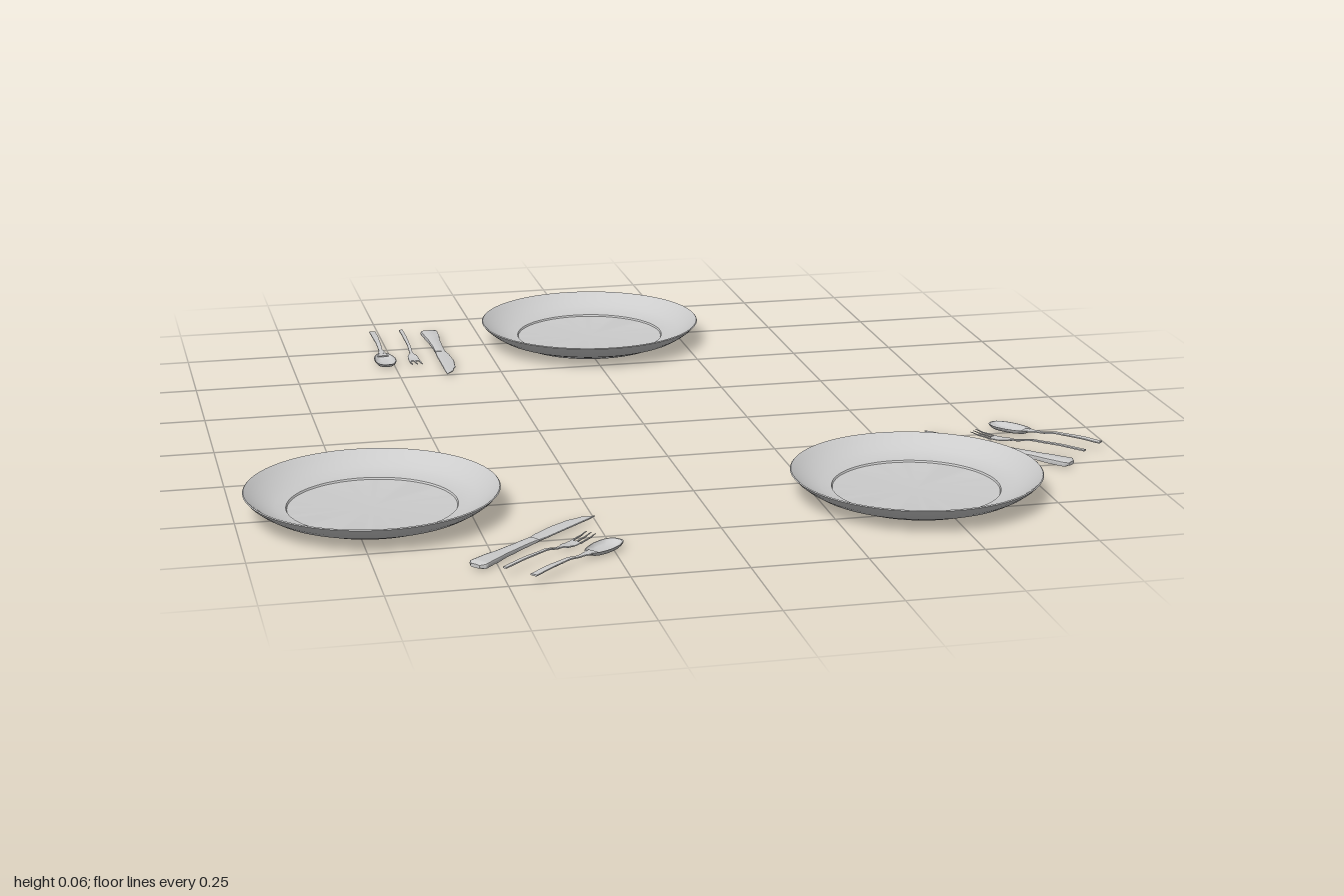
import * as THREE from 'three';
import { toCreasedNormals } from 'three/addons/utils/BufferGeometryUtils.js';

const grey = new THREE.MeshStandardMaterial({ color: 0xcccccc });

function mesh(name, geometry, crease = 0.6) {
  const m = new THREE.Mesh(toCreasedNormals(geometry, crease), grey);
  m.name = name;
  return m;
}

// Bar along +z; rows of [z, x centre, half width, y centre, half thickness], eased from row to row
function bar(rows, steps = 32, sides = 12) {
  const at = (t, k) => {
    const f = t * (rows.length - 1);
    const i = Math.min(Math.floor(f), rows.length - 2);
    const u = f - i;
    const s = k === 0 ? u : u * u * (3 - 2 * u);
    return rows[i][k] + (rows[i + 1][k] - rows[i][k]) * s;
  };
  const pos = [], index = [];
  for (let j = 0; j <= steps; j++) {
    const [z, x, w, y, h] = [0, 1, 2, 3, 4].map((k) => at(j / steps, k));
    for (let i = 0; i < sides; i++) {
      const a = (i / sides) * Math.PI * 2;
      const c = Math.cos(a), s = Math.sin(a);
      pos.push(x + w * Math.sign(c) * Math.sqrt(Math.abs(c)), y + h * Math.sign(s) * Math.sqrt(Math.abs(s)), z);
    }
  }
  for (let j = 0; j < steps; j++) {
    for (let i = 0; i < sides; i++) {
      const a = j * sides + i, b = j * sides + ((i + 1) % sides);
      index.push(a, b, a + sides, b, b + sides, a + sides);
    }
  }
  const last = steps * sides;
  for (let i = 1; i < sides - 1; i++) {
    index.push(0, i + 1, i, last, last + i, last + i + 1);
  }
  const g = new THREE.BufferGeometry();
  g.setAttribute('position', new THREE.Float32BufferAttribute(pos, 3));
  g.setIndex(index);
  return g;
}

function createPlate() {
  const profile = [
    [0, 0.004], [0.182, 0.004], [0.185, 0.006], [0.187, 0.014], [0.212, 0.016], [0.232, 0.023],
    [0.252, 0.035], [0.266, 0.046], [0.275, 0.056], [0.273, 0.058], [0.262, 0.049], [0.247, 0.039],
    [0.228, 0.029], [0.207, 0.022], [0.184, 0.019], [0.182, 0.015], [0, 0.015],
  ].map(([r, y]) => new THREE.Vector2(r, y));
  return mesh('plate', new THREE.LatheGeometry(profile, 72));
}

function createKnife() {
  const knife = new THREE.Group();
  knife.name = 'knife';
  knife.add(mesh('knifeHandle', bar([
    [-0.006, 0.072, 0.012, 0.008, 0.004], [0.004, 0.072, 0.022, 0.008, 0.007], [0.04, 0.073, 0.02, 0.008, 0.007],
    [0.09, 0.073, 0.015, 0.008, 0.006], [0.15, 0.073, 0.013, 0.008, 0.005], [0.19, 0.073, 0.013, 0.008, 0.004],
  ])));
  knife.add(mesh('knifeBlade', bar([
    [0.185, 0.073, 0.013, 0.008, 0.003], [0.22, 0.075, 0.017, 0.008, 0.002], [0.27, 0.076, 0.018, 0.008, 0.002],
    [0.32, 0.074, 0.016, 0.008, 0.002], [0.355, 0.069, 0.011, 0.008, 0.002], [0.383, 0.061, 0.002, 0.008, 0.001],
  ])));
  return knife;
}

function createFork() {
  const fork = new THREE.Group();
  fork.name = 'fork';
  fork.add(mesh('forkHandle', bar([
    [0, 0, 0.005, 0.018, 0.002], [0.06, 0, 0.005, 0.019, 0.002], [0.13, 0, 0.004, 0.017, 0.002],
    [0.185, 0, 0.004, 0.008, 0.002], [0.2, 0, 0.012, 0.006, 0.002], [0.22, 0, 0.014, 0.004, 0.0015],
    [0.24, 0, 0.014, 0.004, 0.0015],
  ])));
  for (const x of [-0.012, 0, 0.012]) {
    fork.add(mesh('forkTine', bar([
      [0.236, x, 0.002, 0.004, 0.0015], [0.265, x, 0.002, 0.006, 0.0013], [0.29, x, 0.001, 0.01, 0.0008],
    ], 10, 8)));
  }
  return fork;
}

function createSpoon() {
  const spoon = new THREE.Group();
  spoon.name = 'spoon';
  spoon.position.x = -0.074;
  spoon.add(mesh('spoonHandle', bar([
    [0, 0, 0.008, 0.018, 0.002], [0.05, 0, 0.008, 0.02, 0.002], [0.11, 0, 0.006, 0.019, 0.002],
    [0.155, 0, 0.005, 0.013, 0.002], [0.185, 0, 0.01, 0.011, 0.002], [0.2, 0, 0.014, 0.01, 0.0015],
  ])));

  // Shallow hollow bowl: a lathed shell pressed into a rounded oblong, narrower at the handle
  const shell = [
    [0, 0], [0.5, 0.001], [0.8, 0.004], [0.95, 0.009], [1, 0.013], [0.94, 0.013],
    [0.86, 0.009], [0.7, 0.005], [0.4, 0.003], [0, 0.0025],
  ].map(([r, y]) => new THREE.Vector2(r, y));
  const bowl = new THREE.LatheGeometry(shell, 40);
  const p = bowl.attributes.position;
  for (let i = 0; i < p.count; i++) {
    const x = p.getX(i), z = p.getZ(i);
    const angle = Math.atan2(z, x);
    const square = (Math.abs(Math.cos(angle)) ** 2.6 + Math.abs(Math.sin(angle)) ** 2.6) ** (-1 / 2.6);
    const taper = z < 0 ? 1 + 0.25 * z : 1;
    p.setXYZ(i, x * square * taper * 0.027, p.getY(i), 0.234 + z * square * 0.054);
  }
  spoon.add(mesh('spoonBowl', bowl));
  return spoon;
}

export function createModel() {
  const model = new THREE.Group();
  model.name = 'placeSettings';

  // Plate centre x, z; cutlery origin x, z; cutlery turn in degrees
  const settings = [
    [0.02, -0.726, -0.447, -0.865, 0],
    [-0.705, 0.494, -0.497, 0.939, 131.5],
    [0.466, 0.632, 0.916, 0.467, -138.8],
  ];
  for (const [px, pz, cx, cz, turn] of settings) {
    const setting = new THREE.Group();
    setting.name = 'placeSetting';
    const plate = createPlate();
    plate.position.set(px, 0, pz);
    const cutlery = new THREE.Group();
    cutlery.name = 'cutlery';
    cutlery.add(createKnife(), createFork(), createSpoon());
    cutlery.position.set(cx, 0, cz);
    cutlery.rotation.y = THREE.MathUtils.degToRad(turn);
    setting.add(plate, cutlery);
    model.add(setting);
  }
  return model;
}
